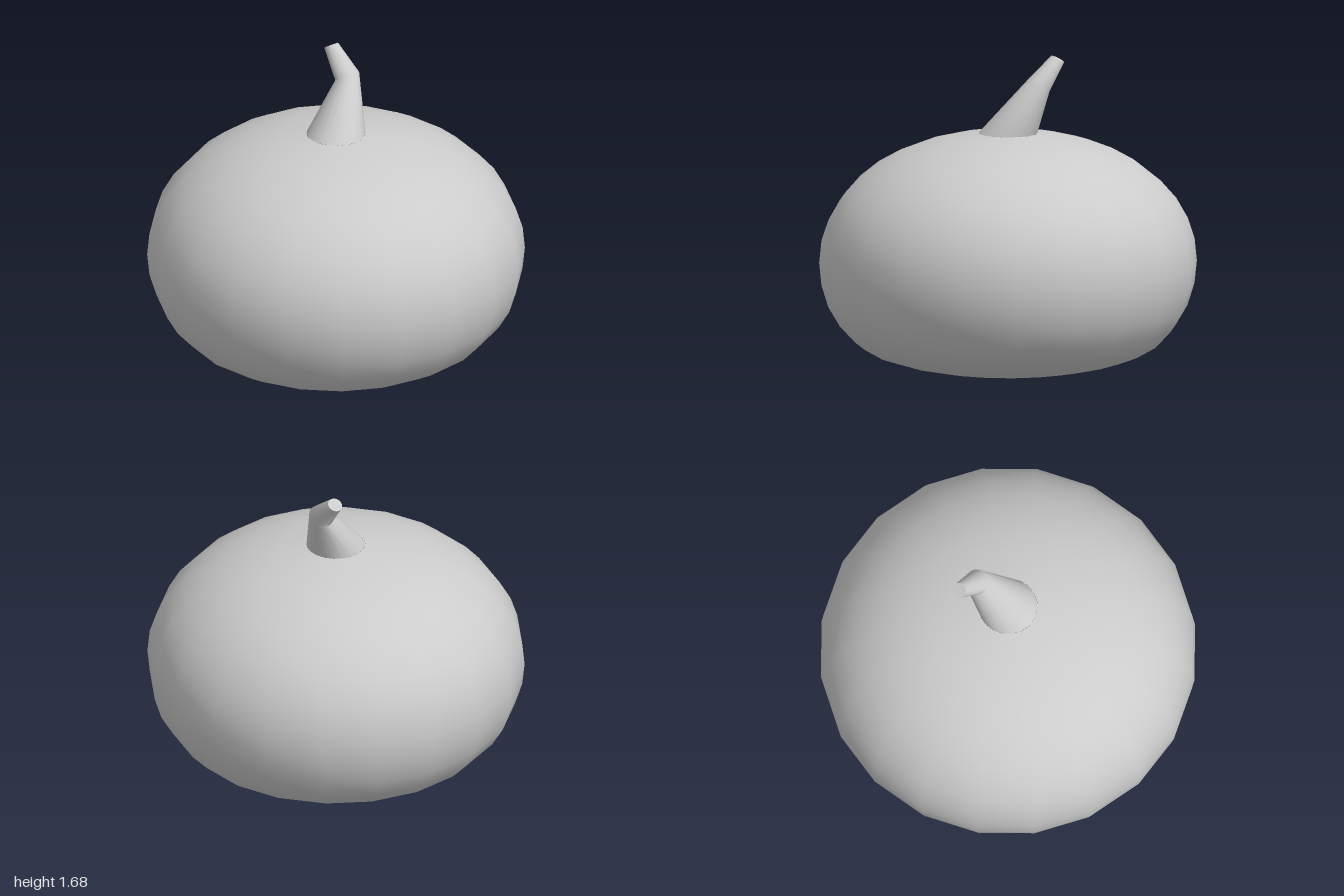
import * as THREE from 'three';
import { toCreasedNormals } from 'three/addons/utils/BufferGeometryUtils.js';

const SIDES = 20;
const material = new THREE.MeshStandardMaterial({ color: 0xcccccc });

// Squashed body: flat underside, domed top that ends where the stem grows out
function makeBody() {
  const lower = [0, 0.003, 0.011, 0.027, 0.055, 0.093, 0.152, 0.24, 0.342, 0.46, 0.58];
  const upper = [0.7, 0.81, 0.915, 1.008, 1.09, 1.157, 1.21, 1.247, 1.27];
  const profile = [...lower, ...upper].map((y, k) =>
    new THREE.Vector2(Math.sin((k * Math.PI) / 20), y));
  const body = new THREE.Mesh(new THREE.LatheGeometry(profile, SIDES), material);
  body.name = 'body';
  return body;
}

// Bent stem: rings joined in sequence, each tilted about z, closed by a flat cap
function makeStem() {
  const rings = [
    { c: [0, 1.27, 0], r: 0.156, tilt: 0 },
    { c: [-0.087, 1.528, -0.145], r: 0.067, tilt: 0.55 },
    { c: [-0.221, 1.66, -0.143], r: 0.039, tilt: 0.58 },
  ];
  const positions = [];
  const index = [];
  for (const { c, r, tilt } of rings) {
    for (let i = 0; i < SIDES; i++) {
      const a = (i / SIDES) * Math.PI * 2;
      const x = r * Math.sin(a);
      positions.push(c[0] + x * Math.cos(tilt), c[1] + x * Math.sin(tilt), c[2] + r * Math.cos(a));
    }
  }
  const tip = rings.length * SIDES;
  positions.push(...rings[rings.length - 1].c);
  for (let i = 0; i < SIDES; i++) {
    const j = (i + 1) % SIDES;
    for (let k = 0; k < rings.length - 1; k++) {
      const a = k * SIDES;
      const b = a + SIDES;
      index.push(a + i, a + j, b + j, a + i, b + j, b + i);
    }
    index.push(tip - SIDES + i, tip - SIDES + j, tip);
  }
  const geometry = new THREE.BufferGeometry();
  geometry.setAttribute('position', new THREE.Float32BufferAttribute(positions, 3));
  geometry.setIndex(index);
  const stem = new THREE.Mesh(toCreasedNormals(geometry, 0.6), material);
  stem.name = 'stem';
  return stem;
}

export function createModel() {
  const model = new THREE.Group();
  model.name = 'pumpkin';
  model.add(makeBody(), makeStem());
  return model;
}
